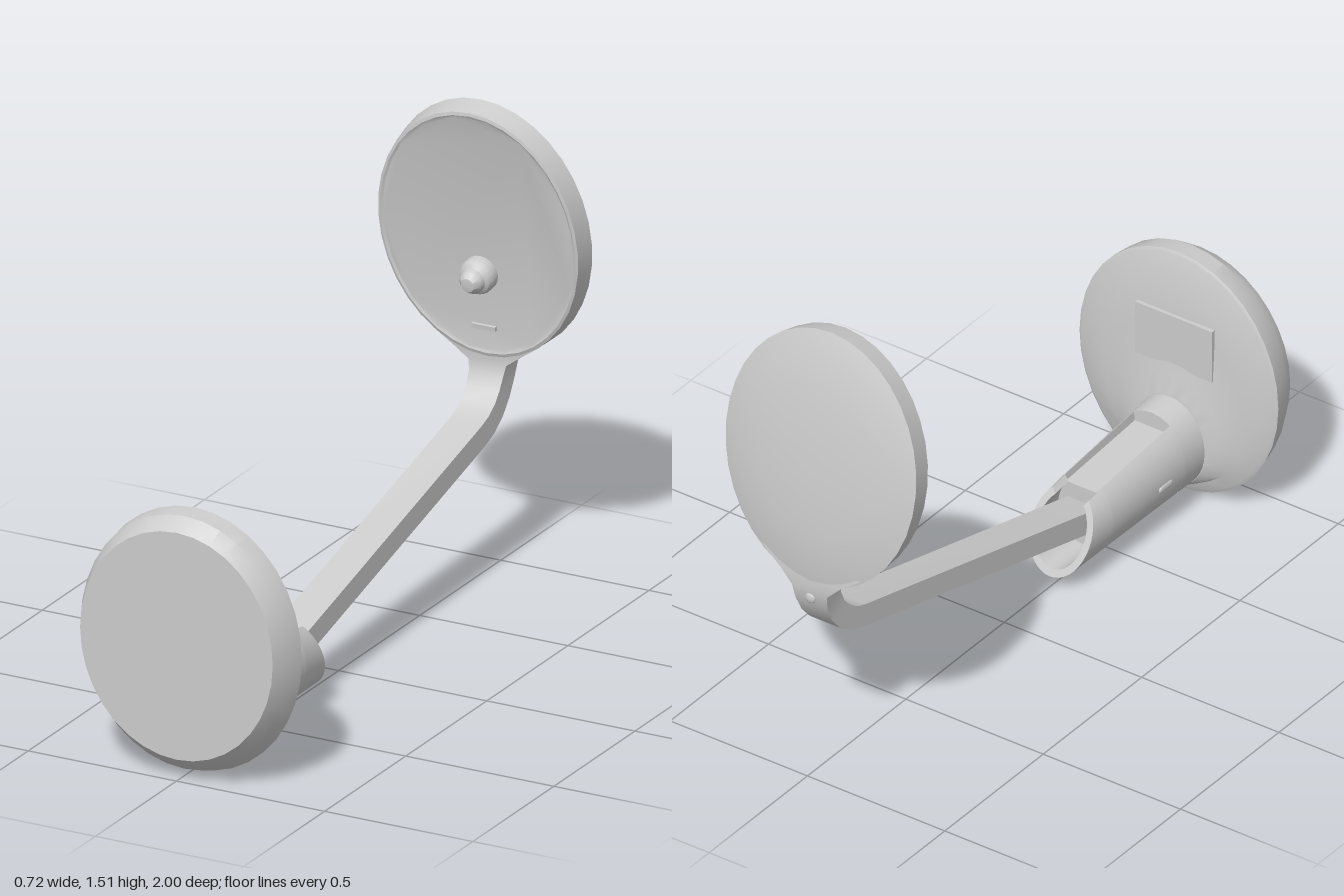
import * as THREE from 'three';
import { toCreasedNormals } from 'three/addons/utils/BufferGeometryUtils.js';

const material = new THREE.MeshStandardMaterial({ color: 0xcccccc, side: THREE.DoubleSide });
const lerp = THREE.MathUtils.lerp;
const V = (x, y, z) => new THREE.Vector3(x, y, z);

function part(name, geometry, parent) {
  const mesh = new THREE.Mesh(geometry, material);
  mesh.name = name;
  parent.add(mesh);
  return mesh;
}

// Skin between rings that run counter-clockwise seen from the front, front to back.
function loft(rings, capStart = true, capEnd = true) {
  const out = [];
  const tri = (...p) => p.forEach((v) => out.push(v.x, v.y, v.z));
  for (let k = 0; k + 1 < rings.length; k++) {
    const r = rings[k], s = rings[k + 1], n = r.length;
    for (let i = 0; i < n; i++) {
      const j = (i + 1) % n;
      tri(r[i], s[i], r[j]);
      tri(r[j], s[i], s[j]);
    }
  }
  const cap = (ring, flip) => {
    const flat = ring.map((v) => new THREE.Vector2(v.x, v.y));
    for (const [a, b, c] of THREE.ShapeUtils.triangulateShape(flat, [])) {
      tri(ring[a], ring[flip ? c : b], ring[flip ? b : c]);
    }
  };
  if (capStart) cap(rings[0], false);
  if (capEnd) cap(rings[rings.length - 1], true);
  const g = new THREE.BufferGeometry();
  g.setAttribute('position', new THREE.Float32BufferAttribute(out, 3));
  return toCreasedNormals(g, 0.5);
}

function ellipse(rx, ry, cy, z, n = 36) {
  return Array.from({ length: n }, (_, i) => {
    const a = (i / n) * Math.PI * 2;
    return V(rx * Math.cos(a), cy + ry * Math.sin(a), z);
  });
}

// Tapered tube section: 'full', 'panel' (flat notch on top) or 'gutter' (open channel).
function tubeSection(z, mode, slanted = false) {
  const t = (0.86 - z) / 0.56;
  const rx = lerp(0.127, 0.108, t), ry = lerp(0.154, 0.131, t), cy = 0.04 + ry;
  if (mode === 'full') return ellipse(rx, ry, cy, z);
  const n = 32, gap = Math.asin(0.065 / rx), ring = [];
  const arc = (f, inset) => {
    const a = lerp(Math.PI / 2 + gap, Math.PI * 2.5 - gap, f);
    return V((rx - inset) * Math.cos(a), cy + (ry - inset) * Math.sin(a), z);
  };
  for (let i = 0; i <= n; i++) ring.push(arc(i / n, 0));
  if (mode === 'panel') {
    const floor = cy + ry * 0.66;
    ring.push(V(0.062, floor, z), V(-0.062, floor, z));
  } else {
    for (let i = n; i >= 0; i--) ring.push(arc(i / n, 0.022));
  }
  if (slanted) ring.forEach((v) => { v.z = 0.23 + (v.y - 0.04) * 0.46; });
  return ring;
}

export function createModel() {
  const model = new THREE.Group();
  model.name = 'doubleDiscBracket';

  // Front disc with a bevelled edge, flaring into the tube at its back
  part('frontDisc', loft([
    ellipse(0.325, 0.362, 0.432, 1),
    ellipse(0.35, 0.403, 0.427, 0.95),
    ellipse(0.362, 0.417, 0.419, 0.888),
    ellipse(0.352, 0.406, 0.419, 0.882),
    ellipse(0.25, 0.28, 0.32, 0.872),
    ellipse(0.17, 0.19, 0.225, 0.858),
    ellipse(0.13, 0.157, 0.197, 0.842),
  ]), model);
  const plate = part('backPlate', new THREE.BoxGeometry(0.28, 0.18, 0.02), model);
  plate.position.set(0, 0.53, 0.871);

  // Tube with a recessed top panel and an open slanted end
  const tube = new THREE.Group();
  tube.name = 'tube';
  model.add(tube);
  part('tubeRoot', loft([tubeSection(0.86, 'full'), tubeSection(0.75, 'full')]), tube);
  part('tubePanel', loft([tubeSection(0.75, 'panel'), tubeSection(0.4, 'panel')]), tube);
  part('tubeGutter', loft([tubeSection(0.4, 'gutter'), tubeSection(0.3, 'gutter', true)]), tube);
  for (const side of [1, -1]) {
    const stud = part('sideStud', new THREE.CapsuleGeometry(0.012, 0.045, 4, 10), tube);
    stud.rotation.x = Math.PI / 2;
    stud.scale.x = 0.5;
    stud.position.set(side * 0.119, 0.175, 0.655);
  }

  // Flat arm: z, y and half width along its path, fanning out into the rear disc
  const path = [
    [0.42, 0.168, 0.056], [-0.79, 0.482, 0.056], [-0.84, 0.5, 0.056], [-0.885, 0.53, 0.056],
    [-0.92, 0.57, 0.056], [-0.945, 0.62, 0.058], [-0.953, 0.66, 0.064],
    [-0.951, 0.7, 0.11], [-0.945, 0.75, 0.18],
  ];
  const half = 0.037;
  const armRings = path.map(([z, y, w], i) => {
    const a = path[Math.max(i - 1, 0)], b = path[Math.min(i + 1, path.length - 1)];
    const len = Math.hypot(b[0] - a[0], b[1] - a[1]);
    const ny = -(b[0] - a[0]) / len * half, nz = (b[1] - a[1]) / len * half;
    return [[-1, -1], [1, -1], [1, 1], [-1, 1]].map(([s, t]) => V(s * w, y + t * ny, z + t * nz));
  });
  part('arm', loft(armRings, true, false), model);
  const rivet = part('neckRivet', new THREE.SphereGeometry(0.018, 12, 8), model);
  rivet.scale.z = 0.4;
  rivet.position.set(0, 0.63, -0.985);

  // Rear disc: tilted, flat in front and domed behind
  const rear = new THREE.Group();
  rear.name = 'rearDisc';
  rear.position.set(0, 1.09, -0.857);
  rear.rotation.x = 0.133;
  model.add(rear);
  const profile = [
    [0.93, -0.004], [0.95, 0], [0.975, -0.003], [1, -0.075], [0.85, -0.092],
    [0.6, -0.106], [0.3, -0.114], [0.02, -0.116],
  ];
  part('rearDiscBody', loft(profile.map(([s, z]) => ellipse(0.345 * s, 0.42 * s, 0, z))), rear);

  // Stepped knob and small tab on the rear disc's front
  const knobProfile = [[0.057, 0], [0.057, 0.03], [0.05, 0.045], [0.04, 0.052],
    [0.036, 0.07], [0.022, 0.088], [0, 0.092]].map(([r, h]) => new THREE.Vector2(r, h));
  const knob = part('knob', toCreasedNormals(new THREE.LatheGeometry(knobProfile, 20), 0.5), rear);
  knob.rotation.x = Math.PI / 2;
  knob.position.set(0, -0.13, -0.006);
  const tab = part('tab', new THREE.BoxGeometry(0.08, 0.014, 0.012), rear);
  tab.position.set(0, -0.31, 0);

  return model;
}
